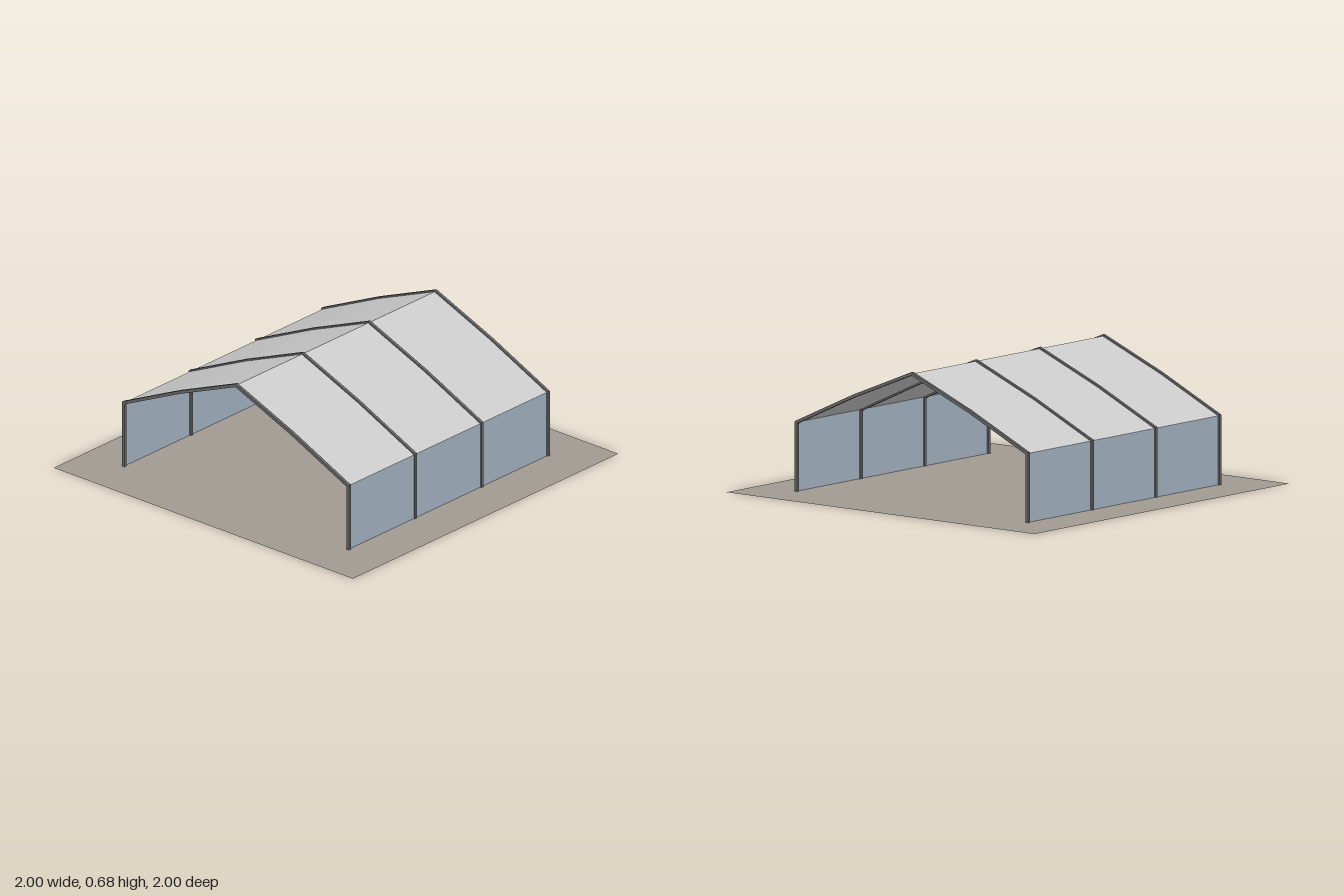
import * as THREE from 'three';

const HALF = 0.75;                       // half width and half length of the shelter
const FRAMES = [-0.75, -0.25, 0.25, 0.75];
const BAR = 0.016;
// Half section: eave, knee, ridge
const ROOF = [[0.75, 0.35], [0.375, 0.523], [0, 0.675]];

const mat = (color, thin = false) =>
  new THREE.MeshStandardMaterial({ color, side: thin ? THREE.DoubleSide : THREE.FrontSide });

export function createModel() {
  const model = new THREE.Group();
  model.name = 'shelter';
  const groundMat = mat(0xa09a92, true);
  const roofMat = mat(0xcccccc, true);
  const wallMat = mat(0xa3b2c0, true);
  const frameMat = mat(0x666666);
  const lampMat = mat(0xe0dcc8);

  const add = (parent, name, geometry, material, x = 0, y = 0, z = 0) => {
    const mesh = new THREE.Mesh(geometry, material);
    mesh.name = name;
    mesh.position.set(x, y, z);
    parent.add(mesh);
    return mesh;
  };

  // Floor slab
  add(model, 'floor', new THREE.PlaneGeometry(2, 2).rotateX(-Math.PI / 2), groundMat);

  for (const side of [-1, 1]) {
    // Side wall panel, facing outward
    add(model, 'sideWall', new THREE.PlaneGeometry(2 * HALF, 0.35).rotateY(side * Math.PI / 2),
      wallMat, side * HALF, 0.175, 0);

    // Roof sheets, one per slope segment
    for (let i = 0; i < ROOF.length - 1; i++) {
      const [x0, y0] = ROOF[i], [x1, y1] = ROOF[i + 1];
      const length = Math.hypot(x1 - x0, y1 - y0);
      const sheet = add(model, 'roofSheet',
        new THREE.PlaneGeometry(length, 2 * HALF).rotateX(-Math.PI / 2),
        roofMat, side * (x0 + x1) / 2, (y0 + y1) / 2, 0);
      sheet.rotation.z = -side * Math.atan2(y1 - y0, x0 - x1);
    }
  }

  // Portal frames: posts and two-piece rafters
  for (const z of FRAMES) {
    const frame = new THREE.Group();
    frame.name = 'portalFrame';
    frame.position.z = z;
    model.add(frame);
    for (const side of [-1, 1]) {
      add(frame, 'post', new THREE.BoxGeometry(BAR, 0.354, BAR), frameMat, side * HALF, 0.177, 0);
      for (let i = 0; i < ROOF.length - 1; i++) {
        const [x0, y0] = ROOF[i], [x1, y1] = ROOF[i + 1];
        const length = Math.hypot(x1 - x0, y1 - y0) + 0.006;
        const rafter = add(frame, 'rafter', new THREE.BoxGeometry(length, BAR, BAR),
          frameMat, side * (x0 + x1) / 2, (y0 + y1) / 2, 0);
        rafter.rotation.z = -side * Math.atan2(y1 - y0, x0 - x1);
      }
    }
  }

  // One round lamp under the ridge of each bay
  for (const z of [-0.5, 0, 0.5]) {
    add(model, 'lamp', new THREE.SphereGeometry(0.025, 16, 12), lampMat, 0, 0.6, z);
  }
  return model;
}
